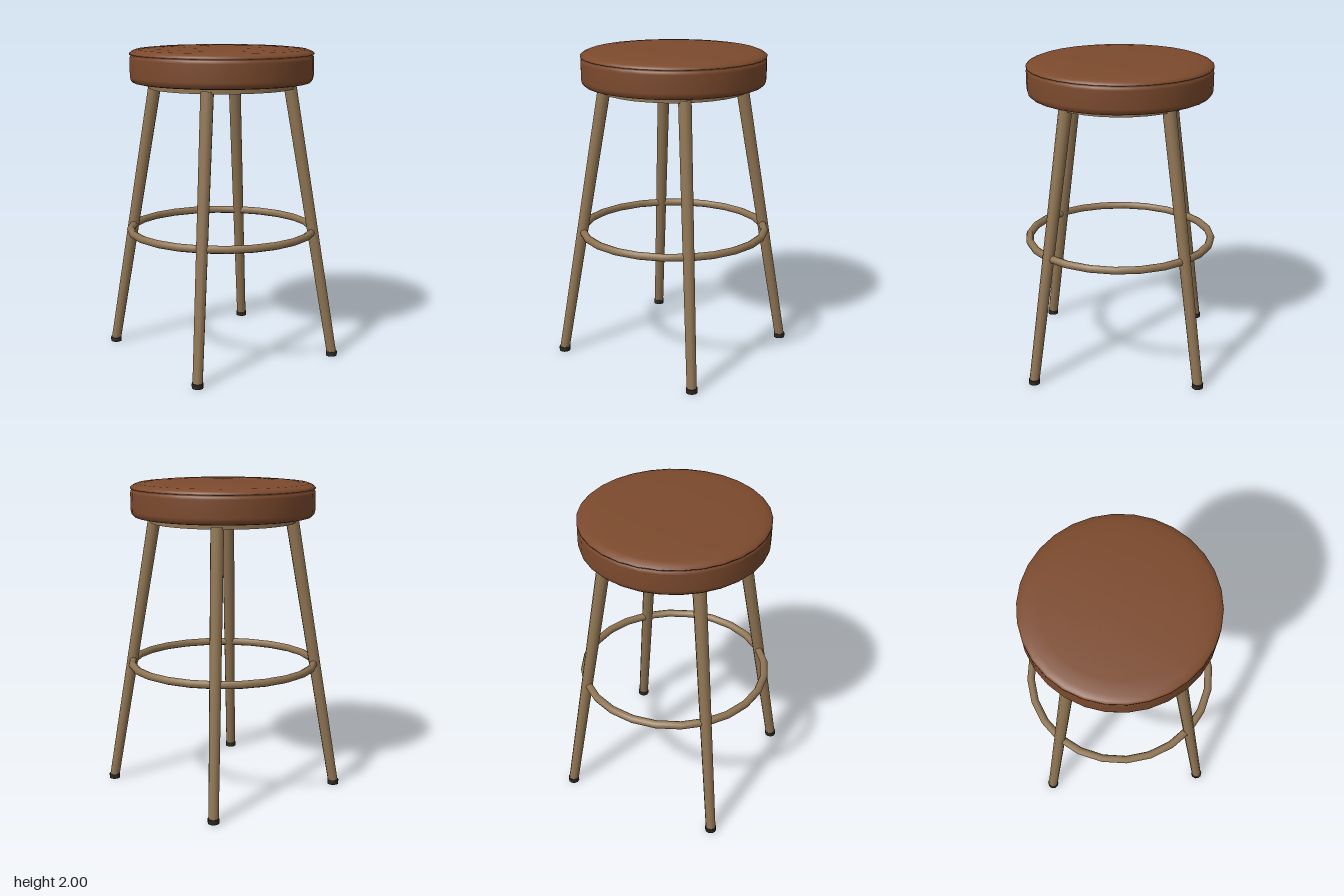
import * as THREE from 'three';

const leather = new THREE.MeshStandardMaterial({ color: 0x7c4a2d });
const metal = new THREE.MeshStandardMaterial({ color: 0x8f7452 });
const rubber = new THREE.MeshStandardMaterial({ color: 0x2b2621 });

function addMesh(parent, name, geometry, material) {
  const mesh = new THREE.Mesh(geometry, material);
  mesh.name = name;
  parent.add(mesh);
  return mesh;
}

// Cylinder running between two points
function addTube(parent, name, from, to, rFrom, rTo, material) {
  const axis = to.clone().sub(from);
  const mesh = addMesh(parent, name, new THREE.CylinderGeometry(rTo, rFrom, axis.length(), 10), material);
  mesh.position.copy(from).addScaledVector(axis, 0.5);
  mesh.quaternion.setFromUnitVectors(new THREE.Vector3(0, 1, 0), axis.normalize());
  return mesh;
}

export function createModel() {
  const stool = new THREE.Group();
  stool.name = 'barStool';

  // Padded seat: rounded side, seam near the top edge, gently domed top
  const profile = [
    [0, 1.768], [0.54, 1.768], [0.562, 1.773], [0.576, 1.787], [0.582, 1.81],
    [0.583, 1.92], [0.58, 1.936], [0.57, 1.942],
    [0.584, 1.947], [0.584, 1.955], [0.572, 1.966], [0.54, 1.979],
    [0.46, 1.987], [0.3, 1.995], [0.12, 1.999], [0, 2],
  ].map(([r, y]) => new THREE.Vector2(r, y));
  addMesh(stool, 'seat', new THREE.LatheGeometry(profile, 30, Math.PI / 2), leather);

  // Mounting plate under the seat
  const plate = addMesh(stool, 'seatPlate', new THREE.CylinderGeometry(0.465, 0.465, 0.04, 30, 1, false, Math.PI / 2), metal);
  plate.position.y = 1.755;

  // Round footrest
  const ring = addMesh(stool, 'footRing', new THREE.TorusGeometry(0.592, 0.025, 8, 24), metal);
  ring.rotation.x = Math.PI / 2;
  ring.position.y = 0.82;

  // Four splayed legs with rubber feet
  for (const sx of [-1, 1]) {
    for (const sz of [-1, 1]) {
      const leg = new THREE.Group();
      leg.name = (sz > 0 ? 'front' : 'back') + (sx > 0 ? 'Left' : 'Right') + 'Leg';
      const along = (y) => {
        const d = 0.52 - 0.21 * y / 1.75;
        return new THREE.Vector3(sx * d, y, sz * d);
      };
      addTube(leg, 'legTube', along(0.015), along(1.745), 0.032, 0.042, metal);
      const foot = addMesh(leg, 'foot', new THREE.CylinderGeometry(0.036, 0.036, 0.03, 10), rubber);
      foot.position.copy(along(0.015));
      stool.add(leg);
    }
  }
  return stool;
}
